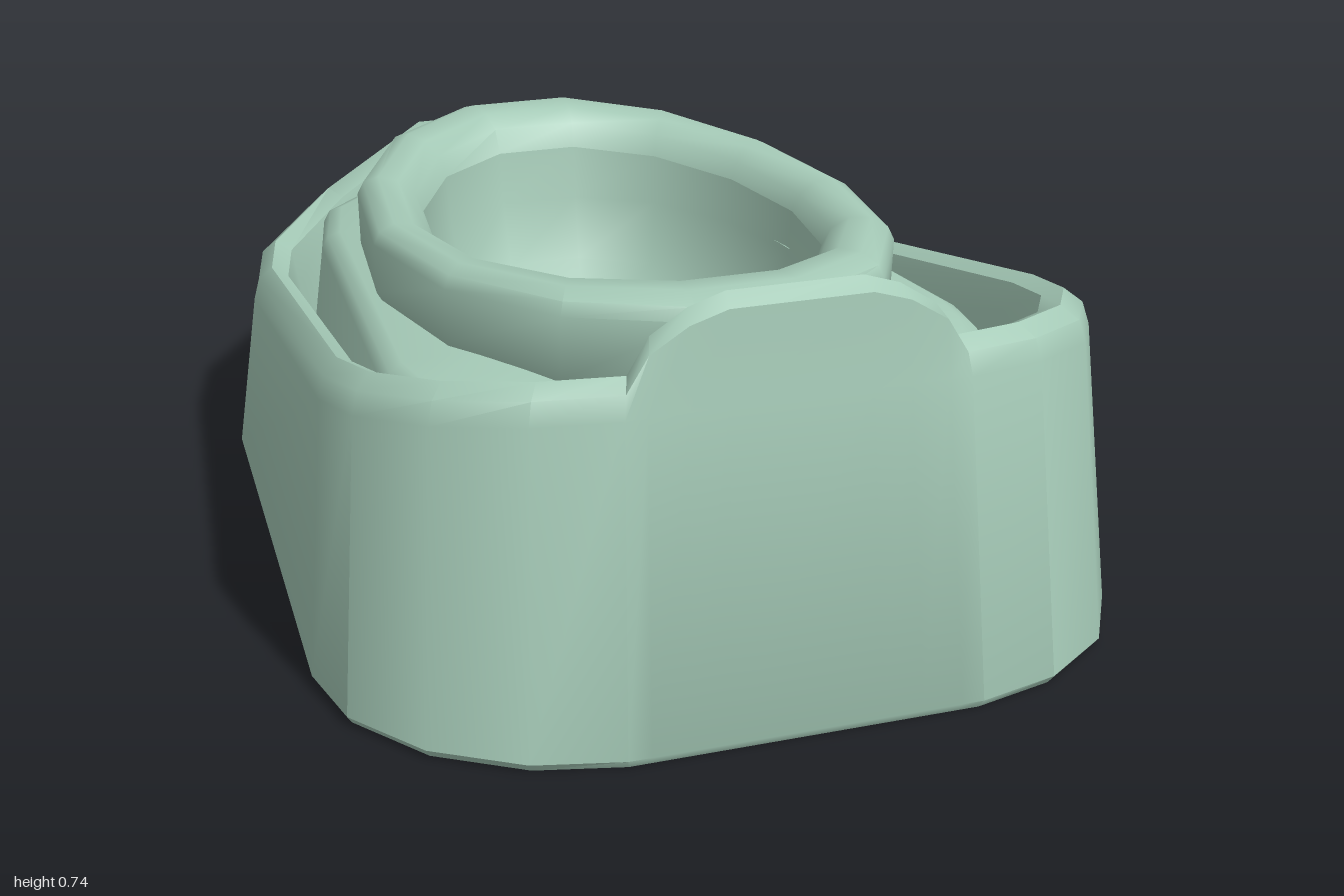
import * as THREE from 'three';
import { toCreasedNormals } from 'three/addons/utils/BufferGeometryUtils.js';

const material = new THREE.MeshStandardMaterial({ color: 0xa6cbb8, side: THREE.DoubleSide });

// Skin a stack of closed loops (each an array of [x, y, z]) into a mesh.
function loft(name, loops, crease) {
  const n = loops[0].length, index = [];
  for (let i = 0; i < loops.length - 1; i++) {
    for (let j = 0; j < n; j++) {
      const a = i * n + j, b = i * n + (j + 1) % n;
      index.push(a, a + n, b, b, a + n, b + n);
    }
  }
  const geometry = new THREE.BufferGeometry();
  geometry.setAttribute('position', new THREE.Float32BufferAttribute(loops.flat(2), 3));
  geometry.setIndex(index);
  const mesh = new THREE.Mesh(toCreasedNormals(geometry, crease), material);
  mesh.name = name;
  return mesh;
}

// Half of the footprint, back to front: [x, z, rise of the rim]
const half = [
  [0.13, -1, 0.22], [0.37, -0.94, 0.1], [0.54, -0.76, 0.02], [0.6, -0.52, 0],
  [0.71, 0.55, 0], [0.69, 0.71, 0], [0.6, 0.86, 0], [0.46, 0.96, 0],
  [0.31, 1, 0], [0.27, 1, 0.06], [0.2, 1, 0.1], [0.13, 1, 0.12],
];
const outline = [...half, ...half.map(([x, z, r]) => [-x, z, r]).reverse()];

// Height of the sloping rim at depth z
const rim = z => 0.62 + 0.166 * (z - 0.92);

// Footprint scaled to a half width, front reach and back reach
function bodyLoop(w, front, back, height) {
  return outline.map(([x, z, rise]) => {
    const pz = z * (z > 0 ? front : back);
    return [x * w / 0.71, height(pz, rise), pz];
  });
}

function createBody() {
  const flat = y => () => y;
  return loft('body', [
    // base and outer wall
    bodyLoop(0, 0, 0, flat(0)),
    bodyLoop(0.7, 0.99, 0.99, flat(0)),
    bodyLoop(0.71, 1, 1, flat(0.015)),
    bodyLoop(0.673, 0.935, 0.92, z => rim(z) - 0.06),
    // rounded rim with the front shield and back lip
    bodyLoop(0.662, 0.925, 0.913, (z, r) => rim(z) - 0.02 + r),
    bodyLoop(0.635, 0.895, 0.87, (z, r) => rim(z) + 0.005 + r),
    bodyLoop(0.605, 0.86, 0.81, (z, r) => rim(z) - 0.01 + r),
    bodyLoop(0.592, 0.84, 0.785, z => rim(z) - 0.06),
    // narrow channel inside the rim
    bodyLoop(0.582, 0.83, 0.775, z => rim(z) - 0.2),
    bodyLoop(0.565, 0.82, 0.76, z => rim(z) - 0.2),
    // raised inner step
    bodyLoop(0.537, 0.757, 0.705, flat(0.455)),
    bodyLoop(0.525, 0.74, 0.69, flat(0.48)),
    bodyLoop(0.5, 0.715, 0.66, flat(0.493)),
    bodyLoop(0.36, 0.6, 0.46, flat(0.51)),
  ], 0.75);
}

// Oval loop whose top dips at the sides; dip sets how much it follows.
function ovalLoop([rx, rz, y, dip]) {
  return Array.from({ length: 14 }, (_, i) => {
    const a = i / 14 * Math.PI * 2;
    return [Math.cos(a) * rx, y - dip * Math.cos(a) ** 2, 0.08 + Math.sin(a) * rz];
  });
}

function createSeat() {
  const group = new THREE.Group();
  group.name = 'seat';
  // seat ring: [half width, half length, height, dip]
  const ring = [
    [0.445, 0.655, 0.485, 0], [0.46, 0.672, 0.51, 0], [0.463, 0.677, 0.635, 0.035],
    [0.452, 0.665, 0.658, 0.035], [0.425, 0.62, 0.672, 0.035], [0.39, 0.56, 0.668, 0.035],
    [0.36, 0.52, 0.645, 0.035], [0.345, 0.5, 0.6, 0.02],
  ];
  // hollow bowl below it
  const bowl = [
    [0.345, 0.5, 0.6, 0.02], [0.338, 0.485, 0.5, 0], [0.315, 0.45, 0.38, 0],
    [0.26, 0.37, 0.27, 0], [0.15, 0.21, 0.2, 0], [0, 0, 0.18, 0],
  ];
  group.add(loft('seatRing', ring.map(ovalLoop), 0.75), loft('bowl', bowl.map(ovalLoop), 0.9));
  return group;
}

export function createModel() {
  const model = new THREE.Group();
  model.name = 'potty';
  model.add(createBody(), createSeat());
  return model;
}
